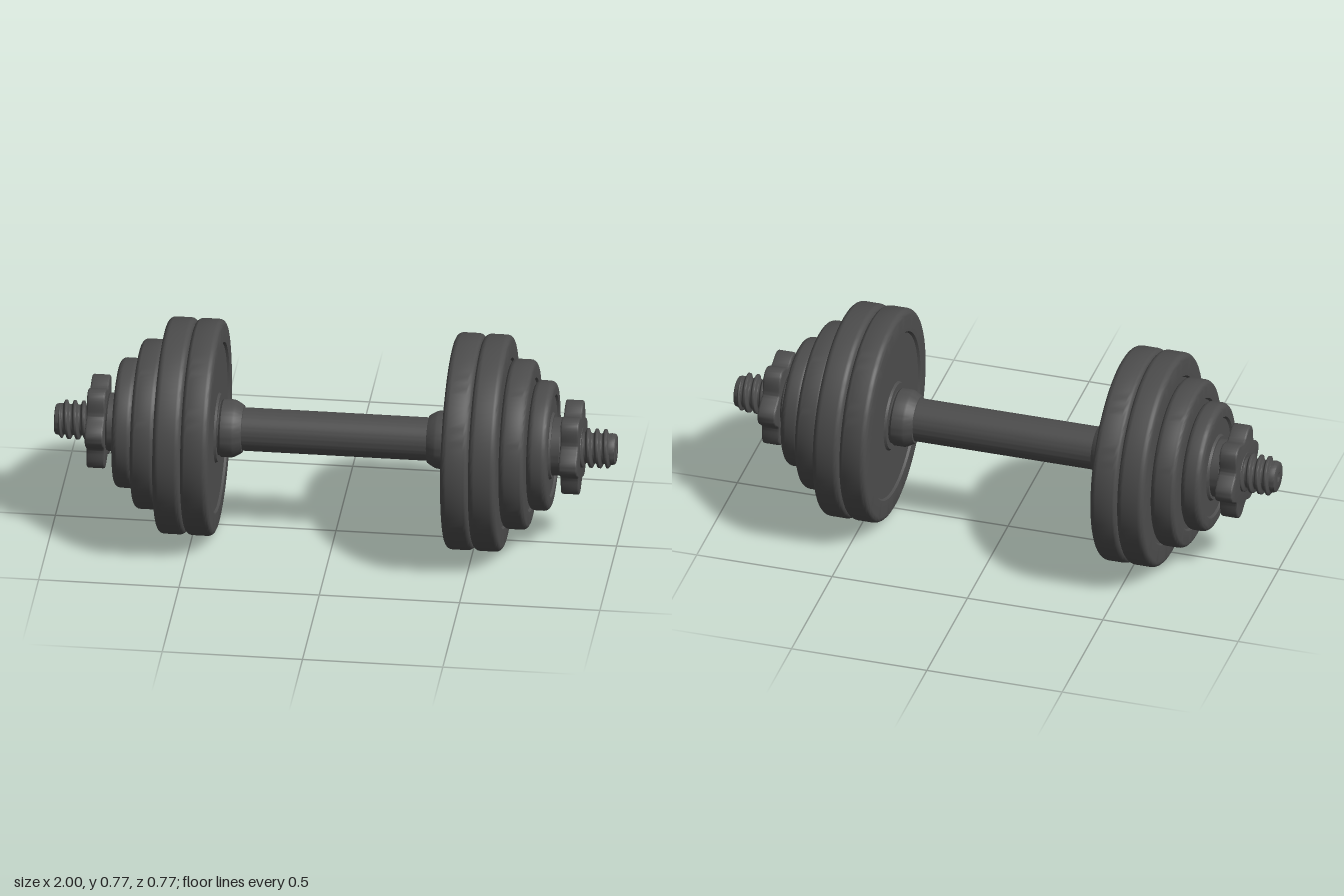
import * as THREE from 'three';
import { toCreasedNormals } from 'three/addons/utils/BufferGeometryUtils.js';

const AXIS_Y = 0.387;
const iron = new THREE.MeshStandardMaterial({ color: 0x4c4c4c });
iron.name = 'dark iron';

// Solid of revolution around the x axis; points are [x, radius], x rising along the outside
function turned(name, points, segments = 72) {
  const profile = points.map(([x, r]) => new THREE.Vector2(r, x));
  const geo = new THREE.LatheGeometry(profile, segments).rotateZ(-Math.PI / 2);
  const mesh = new THREE.Mesh(toCreasedNormals(geo, 0.6), iron);
  mesh.name = name;
  return mesh;
}

// Quarter-round corner at centre (x, r), from angle a to b (0 = outward radius, 90 = +x)
function corner(x, r, f, a, b) {
  const pts = [];
  for (let i = 0; i <= 5; i++) {
    const t = THREE.MathUtils.degToRad(a + ((b - a) * i) / 5);
    pts.push([x + f * Math.sin(t), r + f * Math.cos(t)]);
  }
  return pts;
}

// Weight plate with rounded rim, a shallow dish on both faces and a raised hub
function plate(name, x0, x1, R) {
  const f = 0.022, d = 0.008, dish = R * 0.79, hub = Math.min(0.125, R * 0.52);
  return turned(name, [
    [x0, 0], [x0, hub - 0.006], [x0 + d, hub], [x0 + d, dish - 0.006], [x0, dish],
    ...corner(x0 + f, R - f, f, -90, 0),
    ...corner(x1 - f, R - f, f, 0, 90),
    [x1, dish], [x1 - d, dish - 0.006], [x1 - d, hub], [x1, hub - 0.006], [x1, 0],
  ], 96);
}

// Six-lobed spin-lock nut
function starNut() {
  const bevel = 0.006, pts = [];
  for (let i = 0; i < 120; i++) {
    const a = (i / 120) * Math.PI * 2;
    const r = 0.147 + 0.02 * Math.cos(6 * (a - 0.06)) - bevel;
    pts.push(new THREE.Vector2(r * Math.cos(a), r * Math.sin(a)));
  }
  const geo = new THREE.ExtrudeGeometry(new THREE.Shape(pts), {
    depth: 0.065 - 2 * bevel, bevelThickness: bevel, bevelSize: bevel, bevelSegments: 3,
  });
  geo.rotateY(Math.PI / 2).translate(0.812 + bevel, 0, 0);
  const mesh = new THREE.Mesh(toCreasedNormals(geo, 0.6), iron);
  mesh.name = 'starNut';
  return mesh;
}

// Helical thread: a cylinder whose radius follows a spiral wave
function thread() {
  const x0 = 0.86, x1 = 0.985, pitch = 0.031;
  const geo = new THREE.CylinderGeometry(1, 1, x1 - x0, 48, 60, true);
  geo.rotateZ(-Math.PI / 2).translate((x0 + x1) / 2, 0, 0);
  const p = geo.attributes.position;
  for (let i = 0; i < p.count; i++) {
    const x = p.getX(i), a = Math.atan2(p.getZ(i), p.getY(i));
    const wave = Math.cos((x / pitch) * Math.PI * 2 - a);
    const fade = THREE.MathUtils.clamp((x1 - x) / 0.012, 0, 1);
    const r = 0.056 + fade * (0.006 + 0.008 * THREE.MathUtils.clamp(wave * 1.6, -1, 1));
    p.setXYZ(i, x, p.getY(i) * r, p.getZ(i) * r);
  }
  geo.computeVertexNormals();
  const mesh = new THREE.Mesh(geo, iron);
  mesh.name = 'thread';
  return mesh;
}

// Everything on one end of the bar, built toward +x
function loadedEnd(name) {
  const end = new THREE.Group();
  end.name = name;
  end.add(
    turned('gripCollar', [
      [0.328, 0.07], [0.33, 0.084], [0.337, 0.089], [0.357, 0.1], [0.365, 0.103],
      [0.403, 0.103], [0.41, 0.097], [0.425, 0.097],
    ]),
    plate('innerLargePlate', 0.414, 0.513, 0.385),
    plate('outerLargePlate', 0.513, 0.612, 0.385),
    plate('mediumPlate', 0.612, 0.702, 0.302),
    plate('smallPlate', 0.702, 0.776, 0.231),
    turned('nutFlange', [[0.765, 0], [0.765, 0.104], [0.806, 0.104], [0.814, 0.098], [0.814, 0]]),
    starNut(),
    turned('nutCollar', [[0.87, 0], [0.87, 0.074], [0.879, 0.07], [0.879, 0]]),
    thread(),
    // Chamfered tip with a small centre dimple
    turned('barTip', [
      [0.975, 0], [0.975, 0.056], [0.99, 0.056], [0.997, 0.053], [1, 0.048],
      [1, 0.018], [0.99, 0.006], [0.99, 0],
    ], 48),
  );
  return end;
}

export function createModel() {
  const model = new THREE.Group();
  model.name = 'dumbbell';

  const grip = turned('grip', [[-0.345, 0], [-0.345, 0.077], [0.345, 0.077], [0.345, 0]]);
  const leftEnd = loadedEnd('leftEnd');
  const rightEnd = loadedEnd('rightEnd');
  rightEnd.rotation.y = Math.PI;

  const bar = new THREE.Group();
  bar.name = 'loadedBar';
  bar.position.y = AXIS_Y - 0.002;
  bar.add(grip, leftEnd, rightEnd);
  model.add(bar);
  return model;
}
